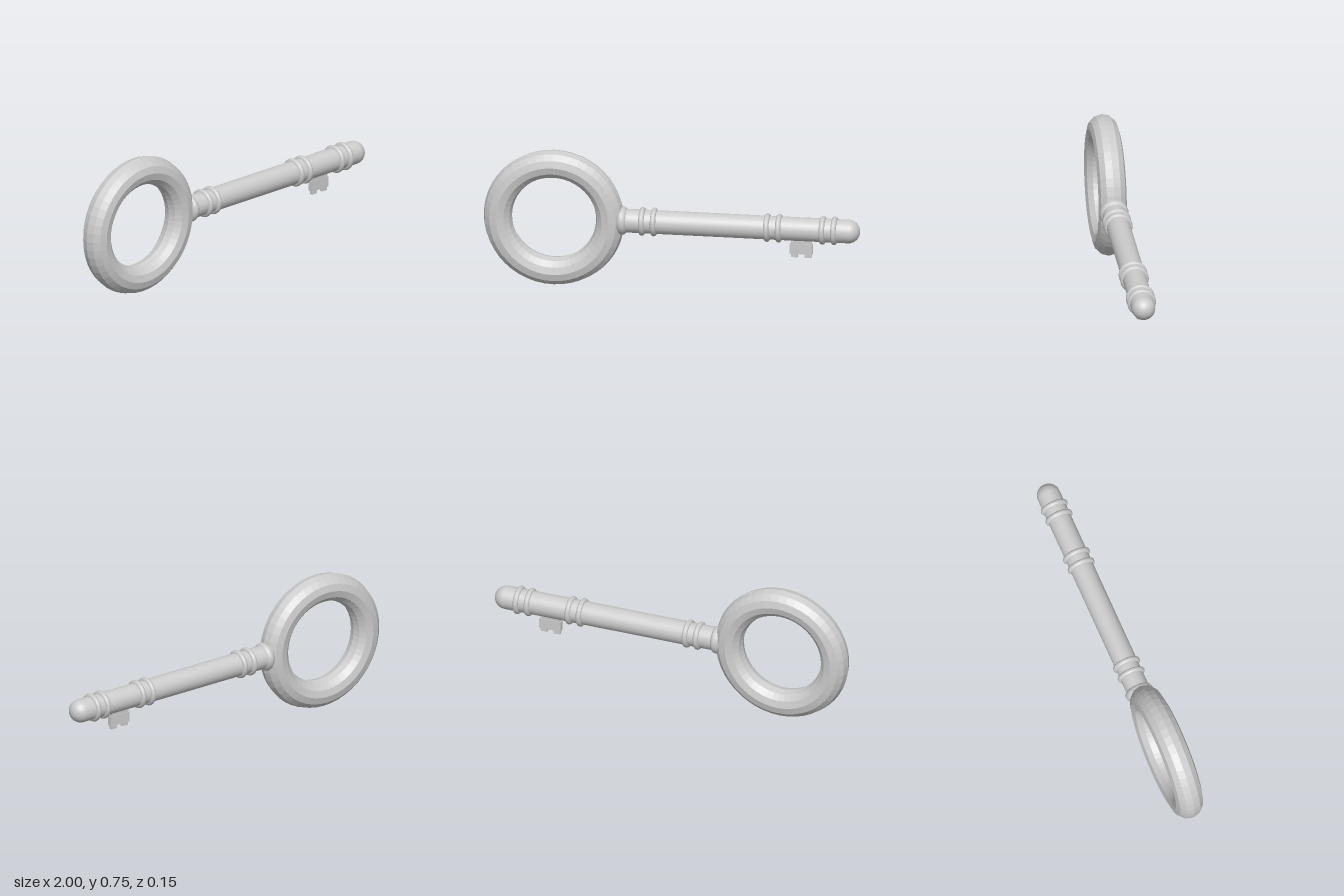
import * as THREE from 'three';

export function createModel() {
  const key = new THREE.Group();
  key.name = 'key';
  const axisY = 0.375;
  const smooth = new THREE.MeshStandardMaterial({ color: 0xcccccc });
  const faceted = new THREE.MeshStandardMaterial({ color: 0xcccccc, flatShading: true });

  function add(name, geometry, x, y = axisY, material = smooth) {
    const mesh = new THREE.Mesh(geometry, material);
    mesh.name = name;
    mesh.position.set(x, y, 0);
    key.add(mesh);
    return mesh;
  }

  // Faceted ring handle
  add('bow', new THREE.TorusGeometry(0.298, 0.075, 12, 48), -0.627, axisY, faceted);

  // Shaft with a rounded tip
  const shaftStart = -0.29, shaftEnd = 0.935, radius = 0.0625;
  add('shaft', new THREE.CylinderGeometry(radius, radius, shaftEnd - shaftStart, 32),
    (shaftStart + shaftEnd) / 2).rotation.z = Math.PI / 2;
  add('tip', new THREE.SphereGeometry(radius, 32, 24), shaftEnd);

  // Thick collar beside the bow
  add('collar', new THREE.TorusGeometry(0.05, 0.026, 12, 40), -0.264).rotation.y = Math.PI / 2;

  // Three pairs of slim bands along the shaft
  for (const x of [-0.158, -0.096, 0.505, 0.568, 0.8, 0.862]) {
    add('band', new THREE.TorusGeometry(0.061, 0.015, 12, 40), x).rotation.y = Math.PI / 2;
  }

  // Bit: neck, plate and two teeth
  const bitX = 0.685;
  add('bitNeck', new THREE.BoxGeometry(0.108, 0.06, 0.02), bitX, 0.31);
  add('bitPlate', new THREE.BoxGeometry(0.122, 0.056, 0.026), bitX, 0.266);
  for (const side of [-1, 1]) {
    add('bitTooth', new THREE.BoxGeometry(0.036, 0.03, 0.017), bitX + side * 0.036, 0.234);
  }

  return key;
}
